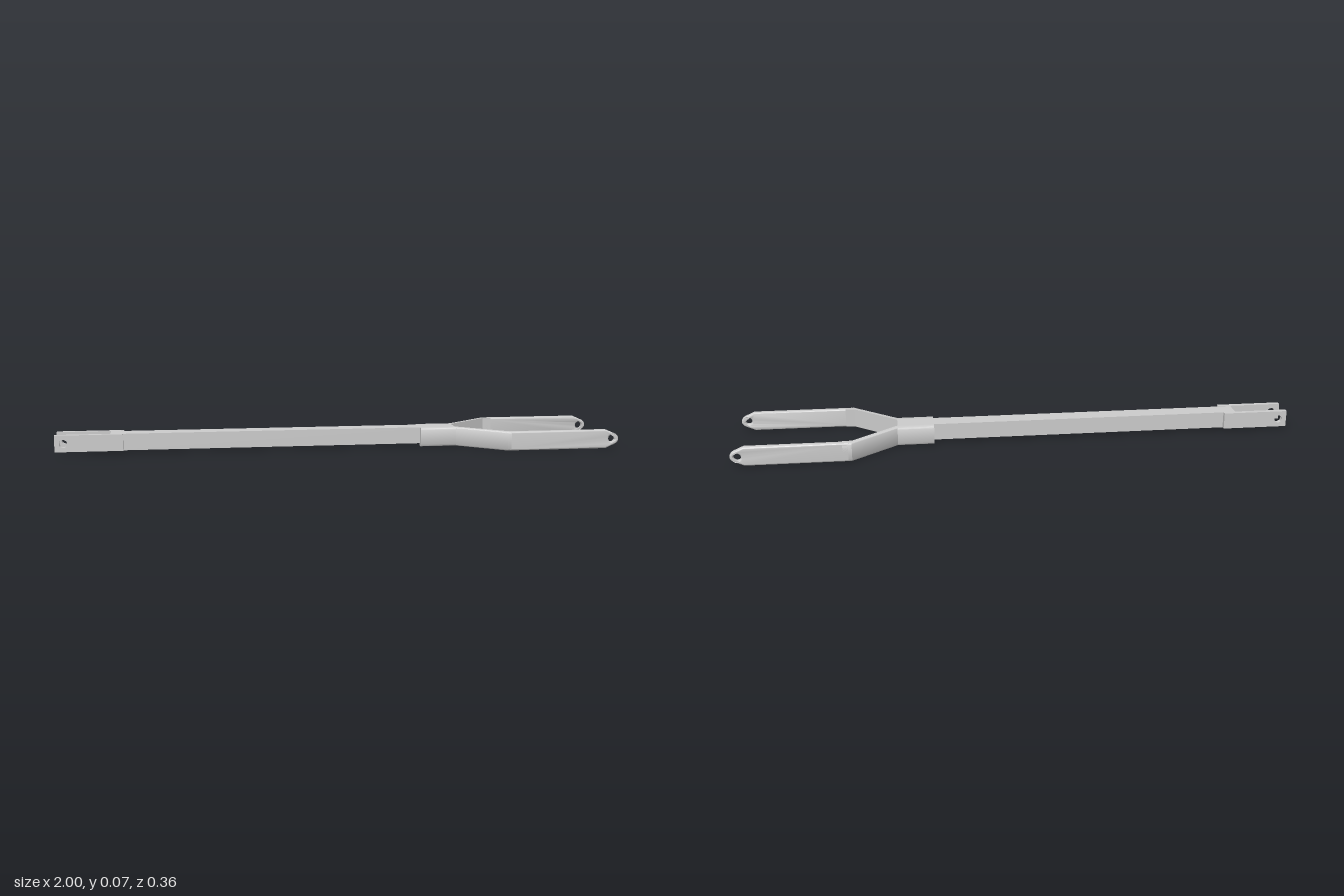
import * as THREE from 'three';
import { toCreasedNormals } from 'three/addons/utils/BufferGeometryUtils.js';

const material = new THREE.MeshStandardMaterial({ color: 0xcccccc });
const H = 0.068; // top of the whole linkage

function mesh(name, geometry) {
  const m = new THREE.Mesh(toCreasedNormals(geometry, 0.6), material);
  m.name = name;
  return m;
}

function rect(x0, y0, x1, y1, Type = THREE.Shape) {
  return new Type([[x0, y0], [x1, y0], [x1, y1], [x0, y1]].map(p => new THREE.Vector2(...p)));
}

function addPinHole(shape, x, y, r) {
  shape.holes.push(new THREE.Path().absarc(x, y, r, 0, Math.PI * 2, true));
}

// Hollow square tube along x
function tube() {
  const s = rect(-0.032, 0.009, 0.032, H);
  s.holes.push(rect(-0.029, 0.012, 0.029, H - 0.003, THREE.Path));
  const g = new THREE.ExtrudeGeometry(s, { depth: 1.24, bevelEnabled: false });
  g.rotateY(Math.PI / 2).translate(-0.81, 0, 0);
  return mesh('hollowShaft', g);
}

// Flat plate with a pin hole, beside the open end of the tube
function clevisPlate(side) {
  const s = rect(-1, 0.01, -0.765, H + 0.001);
  addPinHole(s, -0.97, 0.039, 0.014);
  const g = new THREE.ExtrudeGeometry(s, { depth: 0.017, bevelEnabled: false, curveSegments: 20 });
  g.translate(0, 0, side > 0 ? 0.031 : -0.048);
  return mesh('clevisPlate', g);
}

// Strip that lies along the tube, then bends outward; rounded outer edges
function forkBend() {
  const r = 0.007, a = 0.03, b = 0.053;
  const s = new THREE.Shape();
  s.moveTo(-a, 0);
  s.lineTo(-a, H);
  s.lineTo(-b + r, H);
  s.absarc(-b + r, H - r, r, Math.PI / 2, Math.PI, false);
  s.absarc(-b + r, r, r, Math.PI, Math.PI * 1.5, false);
  s.closePath();
  const g = new THREE.ExtrudeGeometry(s, { depth: 3, steps: 3, bevelEnabled: false, curveSegments: 4 });
  g.rotateY(Math.PI / 2);
  const xs = [0.3, 0.43, 0.588, 0.62], shift = [0, 0, 0.127, 0.127];
  const p = g.attributes.position;
  for (let i = 0; i < p.count; i++) {
    const k = Math.round(p.getX(i));
    p.setX(i, xs[k]);
    p.setZ(i, p.getZ(i) + shift[k]);
  }
  return mesh('forkBend', g);
}

// Straight prong with a tapered, rounded tip and pin hole
function forkProng() {
  const bevel = 0.006;
  const s = new THREE.Shape();
  s.moveTo(0.595, 0);
  s.lineTo(0.952, 0);
  s.lineTo(0.984, 0.014);
  s.bezierCurveTo(0.997, 0.02, 1, 0.028, 1, H / 2);
  s.bezierCurveTo(1, 0.04, 0.997, 0.048, 0.984, H - 0.014);
  s.lineTo(0.952, H);
  s.lineTo(0.595, H);
  s.closePath();
  addPinHole(s, 0.975, 0.036, 0.013);
  const g = new THREE.ExtrudeGeometry(s, {
    depth: 0.023 - 2 * bevel, bevelThickness: bevel, bevelSize: bevel,
    bevelOffset: -bevel, bevelSegments: 4, curveSegments: 12,
  });
  g.translate(0, 0, 0.157 + bevel);
  return mesh('forkProng', g);
}

export function createModel() {
  const model = new THREE.Group();
  model.name = 'forkedLinkRod';
  model.add(tube());
  for (const side of [1, -1]) {
    model.add(clevisPlate(side));
    const arm = new THREE.Group();
    arm.name = side > 0 ? 'frontForkArm' : 'rearForkArm';
    arm.add(forkBend(), forkProng());
    // The second arm is the first turned half round the long axis
    if (side < 0) {
      arm.rotation.x = Math.PI;
      arm.position.y = H;
    }
    model.add(arm);
  }
  return model;
}
